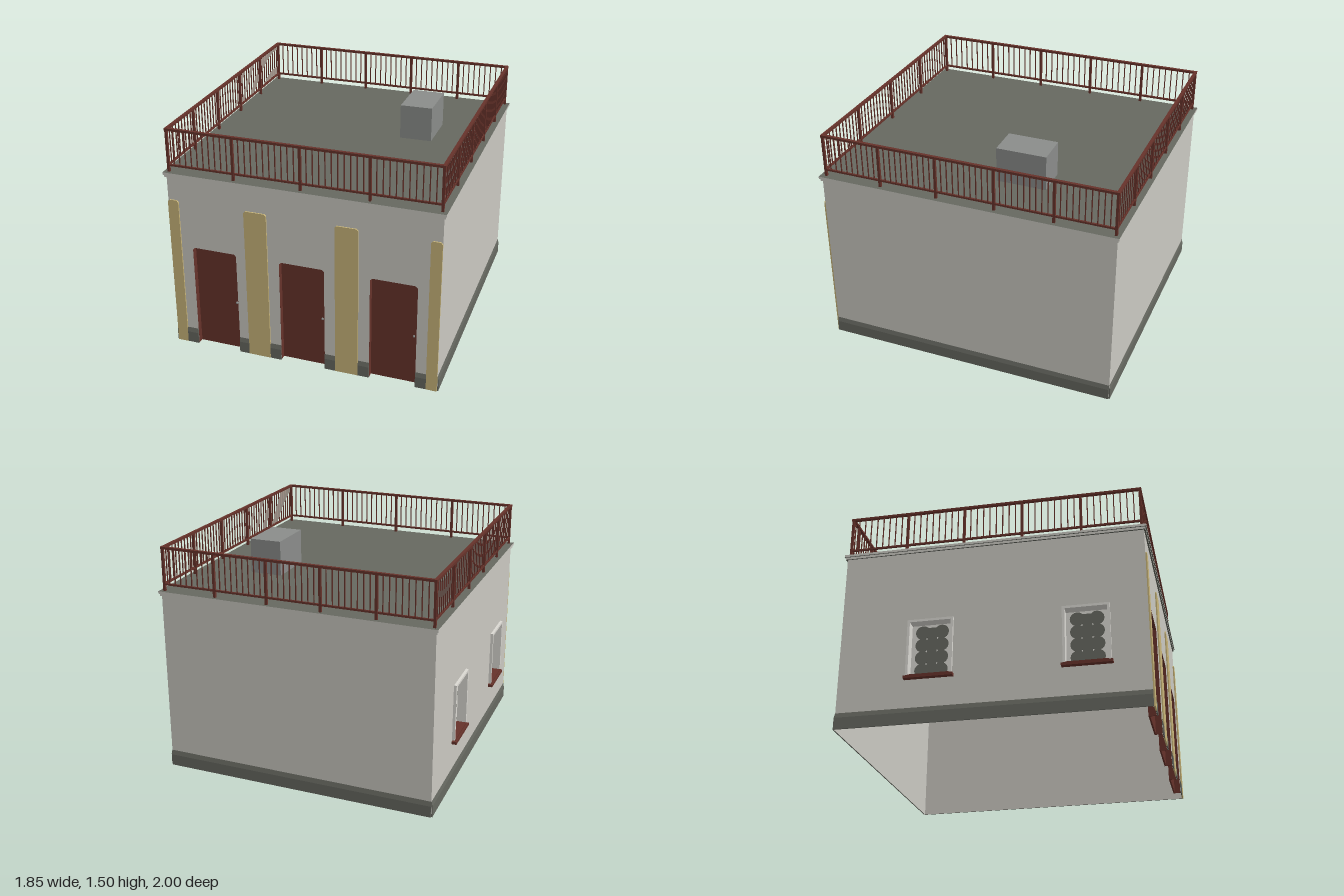
import * as THREE from 'three';

const mat = (name, color) => {
  const m = new THREE.MeshStandardMaterial({ color, side: THREE.DoubleSide });
  m.name = name;
  return m;
};

export function createModel() {
  const plaster = mat('plaster', 0xcac8c1);
  const ochre = mat('ochre', 0xc8b57a);
  const oxide = mat('oxideRed', 0x66322a);
  const slate = mat('darkGrey', 0x666860);
  const grey = mat('boxGrey', 0x8a8c8a);
  const trim = mat('paleTrim', 0xdad8d2);

  const model = new THREE.Group();
  model.name = 'building';
  const H = 1.19;

  // Footprints as [x, z] corners: front left, front right, back right, back left
  const wallPts = [[-0.877, 0.945], [0.9, 0.98], [0.9, -0.957], [-0.907, -0.98]];
  const eavePts = [[-0.895, 0.962], [0.917, 0.997], [0.917, -0.971], [-0.922, -0.998]];
  const railPts = [[-0.863, 0.932], [0.884, 0.958], [0.884, -0.943], [-0.892, -0.966]];

  const add = (parent, name, geo, material, x = 0, y = 0, z = 0) => {
    const m = new THREE.Mesh(geo, material);
    m.name = name;
    m.position.set(x, y, z);
    parent.add(m);
    return m;
  };
  // Box given by its ranges
  const box = (parent, name, material, x0, x1, y0, y1, z0, z1) =>
    add(parent, name, new THREE.BoxGeometry(x1 - x0, y1 - y0, z1 - z0), material,
      (x0 + x1) / 2, (y0 + y1) / 2, (z0 + z1) / 2);

  // Group whose local x runs along a side and local z points outwards
  const side = (pts, i, name) => {
    const [p, q] = [pts[i], pts[(i + 1) % 4]];
    const g = new THREE.Group();
    g.name = name;
    g.position.set(p[0], 0, p[1]);
    g.rotation.y = Math.atan2(p[1] - q[1], q[0] - p[0]);
    model.add(g);
    return [g, Math.hypot(q[0] - p[0], q[1] - p[1])];
  };
  const poly = pts => new THREE.Shape(pts.map(([x, y]) => new THREE.Vector2(x, y)));

  // Plinth strip with a sloped top
  const plinth = (g, x0, x1) => {
    const geo = new THREE.ExtrudeGeometry(
      poly([[0, 0], [-0.007, 0], [-0.007, 0.075], [0, 0.106]]),
      { depth: x1 - x0, bevelEnabled: false });
    geo.rotateY(Math.PI / 2);
    add(g, 'plinth', geo, slate, x0, 0, 0.001);
  };
  const chamfered = (x0, x1, y0, y1, c) => [[x0, y0], [x1, y0], [x1, y1 - c],
    [x1 - c, y1], [x0 + c, y1], [x0, y1 - c]];

  // Door and window openings, measured along their walls
  const doors = [[0.149, 0.449], [0.741, 1.039], [1.335, 1.636]];
  const windows = [0.58, 1.55].map(c => [c - 0.13, c + 0.13]);
  const [wy0, wy1] = [0.315, 0.675];

  // Walls
  ['frontWall', 'leftWall', 'backWall', 'rightWall'].forEach((name, i) => {
    const [g, len] = side(wallPts, i, name);
    const shape = poly([[0, 0], [len, 0], [len, H], [0, H]]);
    if (i === 0) {
      // The front wall stands between the doors, so its outline steps around them
      const outline = [[0, 0]];
      for (const [a, b] of doors) {
        outline.push([a, 0], [a, 0.697], [a + 0.014, 0.711], [b - 0.014, 0.711], [b, 0.697], [b, 0]);
      }
      outline.push([len, 0], [len, H], [0, H]);
      add(g, 'wall', new THREE.ShapeGeometry(poly(outline)), plaster);
    } else {
      if (i === 3) {
        for (const [a, b] of windows) {
          shape.holes.push(poly([[a, wy0], [a, wy1], [b, wy1], [b, wy0]]));
        }
      }
      add(g, 'wall', new THREE.ShapeGeometry(shape), plaster);
      plinth(g, 0, len);
    }

    if (i === 0) {
      // Painted pilasters with clipped top corners
      const bands = [[0, 0.072], [0.517, 0.667], [1.112, 1.262], [1.707, len]];
      for (const [a, b] of bands) {
        const geo = new THREE.ExtrudeGeometry(poly(chamfered(a, b, 0, 1.03, 0.012)),
          { depth: 0.0098, bevelEnabled: false });
        add(g, 'pilaster', geo, ochre, 0, 0, -0.001);
      }
      // Plinth pieces between pilasters and doors
      const stops = [0.072, 0.149, 0.449, 0.517, 0.667, 0.741, 1.039, 1.112, 1.262, 1.335, 1.636, 1.707];
      for (let k = 0; k < stops.length; k += 2) plinth(g, stops[k], stops[k + 1]);
      // Recessed doors with jambs and handles
      for (const [a, b] of doors) {
        box(g, 'door', oxide, a, b, 0, 0.711, -0.05, -0.04);
        box(g, 'doorJamb', oxide, a - 0.006, a, 0, 0.711, -0.05, -0.001);
        box(g, 'doorJamb', oxide, b, b + 0.006, 0, 0.711, -0.05, -0.001);
        box(g, 'doorHead', oxide, a, b, 0.711, 0.717, -0.05, -0.001);
        add(g, 'doorHandle', new THREE.SphereGeometry(0.008, 10, 6), grey, b - 0.025, 0.34, -0.034);
      }
    }

    if (i === 3) {
      for (const [a, b] of windows) {
        const w = new THREE.Group();
        w.name = 'window';
        g.add(w);
        // Raised surround that also lines the recess
        const t = 0.016;
        box(w, 'windowJamb', trim, a - t, a, wy0, wy1 + t, -0.05, 0.018);
        box(w, 'windowJamb', trim, b, b + t, wy0, wy1 + t, -0.05, 0.018);
        box(w, 'windowHead', trim, a, b, wy1, wy1 + t, -0.05, 0.018);
        box(w, 'windowSill', oxide, a - 0.025, b + 0.025, wy0 - 0.024, wy0 - 0.006, -0.05, 0.032);
        box(w, 'sillTop', oxide, a, b, wy0 - 0.006, wy0 + 0.004, -0.05, 0.02);
        box(w, 'windowPane', trim, a, b, wy0, wy1, -0.05, -0.044);
        // Ornamental screen of round motifs, seen from both sides
        const mid = (a + b) / 2;
        for (let r = 0; r < 4; r++) {
          for (const s of [-1, 1]) {
            const disc = add(w, 'screenRound', new THREE.CylinderGeometry(0.046, 0.046, 0.014, 16),
              slate, mid + s * 0.06, wy0 + 0.051 + r * 0.086, -0.047);
            disc.rotation.x = Math.PI / 2;
          }
        }
        box(w, 'screenBar', slate, mid - 0.03, mid + 0.03, wy0 + 0.02, wy1 - 0.02, -0.0535, -0.0405);
      }
    }
  });

  // Stepped eaves: dark top and underside, pale edges
  const slab = (name, inset, y0, y1, edge) => {
    const pts = eavePts.map(([x, z]) => [x - Math.sign(x) * inset, -z + Math.sign(z) * inset]);
    const geo = new THREE.ExtrudeGeometry(poly(pts), { depth: y1 - y0, bevelEnabled: false });
    geo.rotateX(-Math.PI / 2);
    add(model, name, geo, [slate, edge], 0, y0, 0);
  };
  slab('eavesLower', 0.007, 1.184, 1.2, plaster);
  slab('roofSlab', 0, 1.2, 1.216, plaster);

  // Roof box
  box(model, 'roofBox', grey, 0.342, 0.555, 1.216, 1.445, -0.392, -0.064);

  // Railing: rails, posts and balusters on every side
  [4, 5, 5, 5].forEach((spans, i) => {
    const [g, len] = side(railPts, i, 'railing');
    box(g, 'topRail', oxide, -0.01, len + 0.01, 1.488, 1.503, -0.01, 0.01);
    box(g, 'bottomRail', oxide, 0, len, 1.254, 1.266, -0.006, 0.006);
    const step = len / spans;
    const n = Math.round(step / 0.04);
    for (let s = 0; s < spans; s++) {
      box(g, 'post', oxide, s * step - 0.008, s * step + 0.008, 1.216, 1.49, -0.008, 0.008);
      for (let k = 1; k < n; k++) {
        const x = s * step + (k * step) / n;
        box(g, 'baluster', oxide, x - 0.003, x + 0.003, 1.26, 1.49, -0.003, 0.003);
      }
    }
  });

  return model;
}
